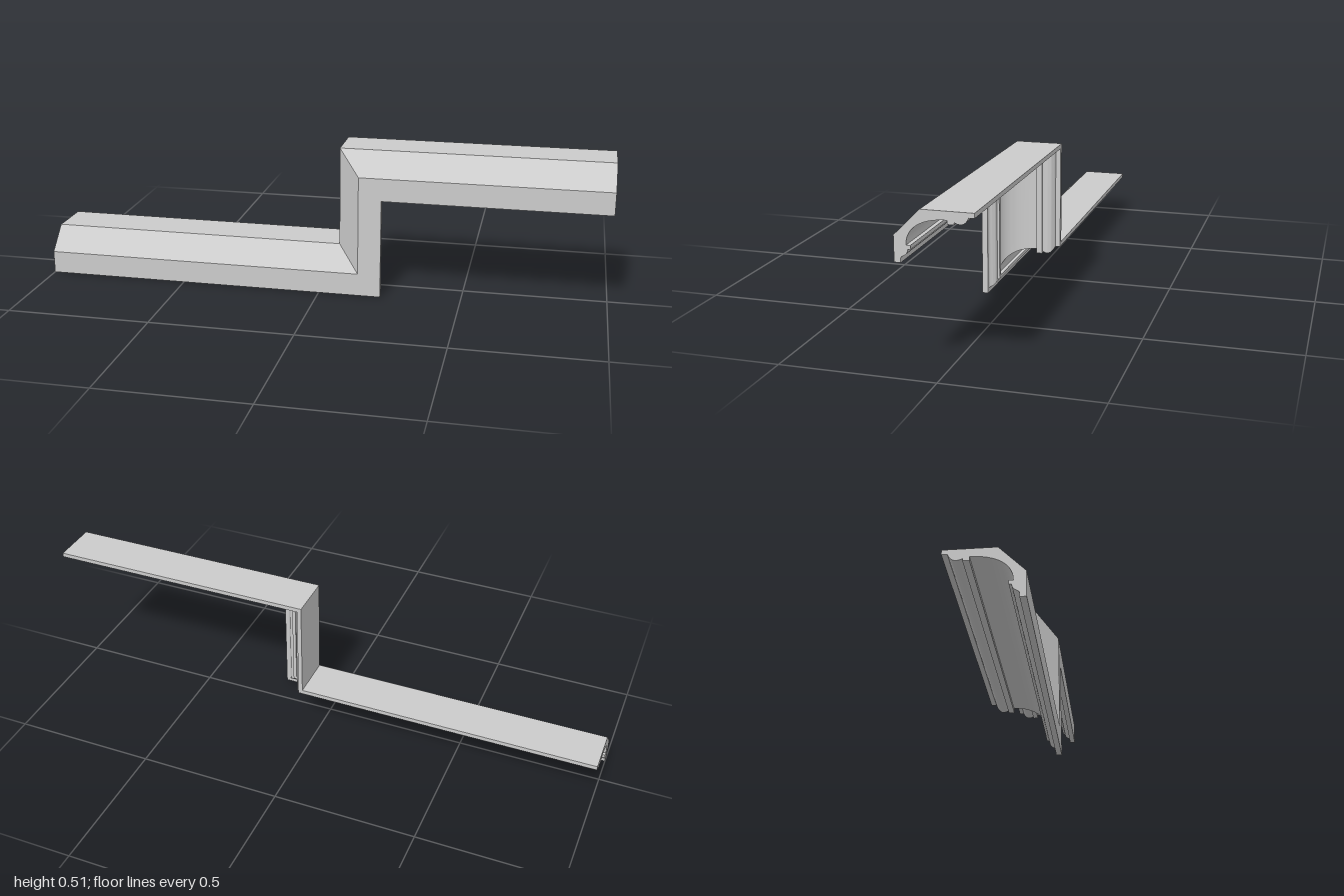
import * as THREE from 'three';
import { toCreasedNormals } from 'three/addons/utils/BufferGeometryUtils.js';

// Moulding section: u runs back to front, v is the depth below the outer face
function mouldingSection() {
  const s = new THREE.Shape();
  s.moveTo(-0.12, 0);
  s.lineTo(0.04, 0);
  s.lineTo(0.12, 0.08);
  s.lineTo(0.12, 0.16);
  s.lineTo(0.10, 0.16);
  // front ogee and fillet
  s.lineTo(0.10, 0.148);
  s.bezierCurveTo(0.099, 0.137, 0.08, 0.142, 0.078, 0.12);
  s.lineTo(0.07, 0.119);
  s.lineTo(0.07, 0.107);
  s.lineTo(0.083, 0.107);
  // large cove
  s.bezierCurveTo(0.083, 0.055, 0.035, 0.026, -0.04, 0.026);
  // square bead
  s.lineTo(-0.04, 0.038);
  s.lineTo(-0.06, 0.038);
  s.lineTo(-0.06, 0.031);
  // rear ogee and back edge
  s.bezierCurveTo(-0.082, 0.042, -0.095, 0.034, -0.103, 0.015);
  s.lineTo(-0.12, 0.015);
  return s.getPoints(16);
}

// Stations along the stepped run; the middle two are mitred corners
const stations = [
  (p) => [1, 0.512 - p.y, p.x],
  (p) => [0.06 + p.y, 0.512 - p.y, p.x],
  (p) => [0.06 + p.y, 0.16 - p.y, p.x],
  (p) => [-1, 0.16 - p.y, p.x],
];

export function createModel() {
  const group = new THREE.Group();
  const material = new THREE.MeshStandardMaterial({ color: 0xcccccc });
  const section = mouldingSection();
  const capFaces = THREE.ShapeUtils.triangulateShape(section, []);

  ['upperRail', 'riser', 'lowerRail'].forEach((name, k) => {
    const a = section.map(stations[k]);
    const b = section.map(stations[k + 1]);
    const positions = [];
    const tri = (...corners) => corners.forEach((c) => positions.push(...c));

    // long faces
    for (let i = 0; i < section.length; i++) {
      const j = (i + 1) % section.length;
      tri(a[i], b[i], a[j]);
      tri(a[j], b[i], b[j]);
    }
    // end caps on the outer ends only
    for (const [p, q, r] of capFaces) {
      if (k === 0) tri(a[p], a[q], a[r]);
      if (k === 2) tri(b[p], b[r], b[q]);
    }

    const geometry = new THREE.BufferGeometry();
    geometry.setAttribute('position', new THREE.Float32BufferAttribute(positions, 3));
    const mesh = new THREE.Mesh(toCreasedNormals(geometry, 0.5), material);
    mesh.name = name;
    group.add(mesh);
  });
  return group;
}
